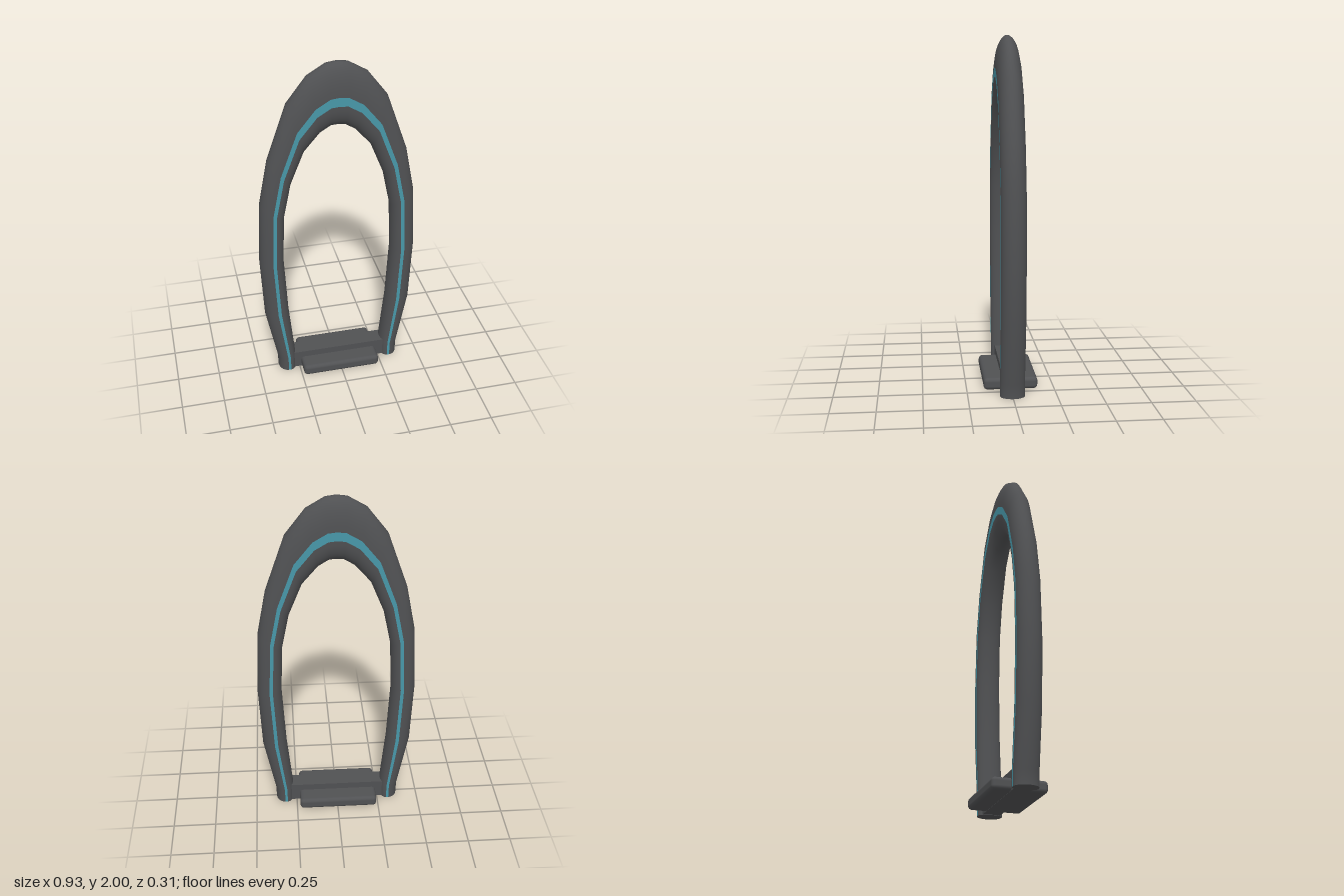
import * as THREE from 'three';
import { RoundedBoxGeometry } from 'three/addons/geometries/RoundedBoxGeometry.js';

const dark = new THREE.MeshStandardMaterial({ color: 0x505153 });
const teal = new THREE.MeshStandardMaterial({ color: 0x4797a8 });

const HALF_DEPTH = 0.07;
const STRIPE_IN = 0.36, STRIPE_OUT = 0.5; // stripe edges, as fractions from inner to outer contour

// Paired points up one leg: outer x, outer y, inner x, inner y
const leg = [
  [0.375, 0, 0.27, 0],
  [0.378, 0.08, 0.27, 0.1],
  [0.445, 0.42, 0.303, 0.44],
  [0.463, 0.8, 0.322, 0.8],
  [0.447, 1.18, 0.31, 1.09],
  [0.395, 1.45, 0.267, 1.3],
  [0.28, 1.78, 0.19, 1.49],
  [0.165, 1.93, 0.1, 1.595],
  [0.06, 1.992, 0.04, 1.632],
];
const stations = [
  ...leg,
  [0, 2, 0, 1.635],
  ...leg.slice().reverse().map(([ox, oy, ix, iy]) => [-ox, oy, -ix, iy]),
];

// Half-ellipse of the section, as [fraction, z] pairs
function arc(centre, radius, start) {
  return Array.from({ length: 17 }, (_, i) => {
    const a = start + (Math.PI * i) / 16;
    return [centre + radius * Math.cos(a), HALF_DEPTH * Math.sin(a)];
  });
}

// Sweeps a piece of the section along the arch
function sweep(name, section, material) {
  const pos = [], index = [], n = section.length;
  stations.forEach(([ox, oy, ix, iy], i) => {
    section.forEach(([f, z], j) => {
      pos.push(ix + (ox - ix) * f, iy + (oy - iy) * f, z);
      if (i < stations.length - 1 && j < n - 1) {
        const a = i * n + j, b = a + n;
        index.push(a, b, a + 1, b, b + 1, a + 1);
      }
    });
  });
  const g = new THREE.BufferGeometry();
  g.setAttribute('position', new THREE.Float32BufferAttribute(pos, 3));
  g.setIndex(index);
  g.computeVertexNormals();
  const mesh = new THREE.Mesh(g, material);
  mesh.name = name;
  return mesh;
}

function roundedBox(name, w, h, d, r, y) {
  const mesh = new THREE.Mesh(new RoundedBoxGeometry(w, h, d, 3, r), dark);
  mesh.position.set(-0.004, y, 0);
  mesh.name = name;
  return mesh;
}

export function createModel() {
  const model = new THREE.Group();
  model.name = 'stirrup';

  // Arch: rounded outer and inner halves with a coloured stripe on each face
  const outer = arc(STRIPE_OUT, 1 - STRIPE_OUT, -Math.PI / 2);
  const inner = arc(STRIPE_IN, STRIPE_IN, Math.PI / 2);
  const arch = new THREE.Group();
  arch.name = 'arch';
  arch.add(
    sweep('archOuter', outer, dark),
    sweep('archInner', inner, dark),
    sweep('frontStripe', [[STRIPE_OUT, HALF_DEPTH], [STRIPE_IN, HALF_DEPTH]], teal),
    sweep('backStripe', [[STRIPE_IN, -HALF_DEPTH], [STRIPE_OUT, -HALF_DEPTH]], teal),
  );

  // Flat soles closing the legs
  for (const [name, side] of [['leftLegEnd', 1], ['rightLegEnd', -1]]) {
    const pts = [...outer, ...inner].map(([f, z]) => new THREE.Vector2(side * (0.27 + 0.105 * f), z));
    const sole = new THREE.Mesh(new THREE.ShapeGeometry(new THREE.Shape(pts)), dark);
    sole.rotation.x = Math.PI / 2;
    sole.name = name;
    arch.add(sole);
  }
  model.add(arch);

  // Crossbar between the legs
  const bar = new THREE.Mesh(new THREE.BoxGeometry(0.6, 0.11, 0.1), dark);
  bar.position.y = 0.057;
  bar.name = 'crossbar';
  model.add(bar);

  // Foot tread
  model.add(roundedBox('tread', 0.47, 0.068, 0.308, 0.022, 0.038));
  return model;
}
